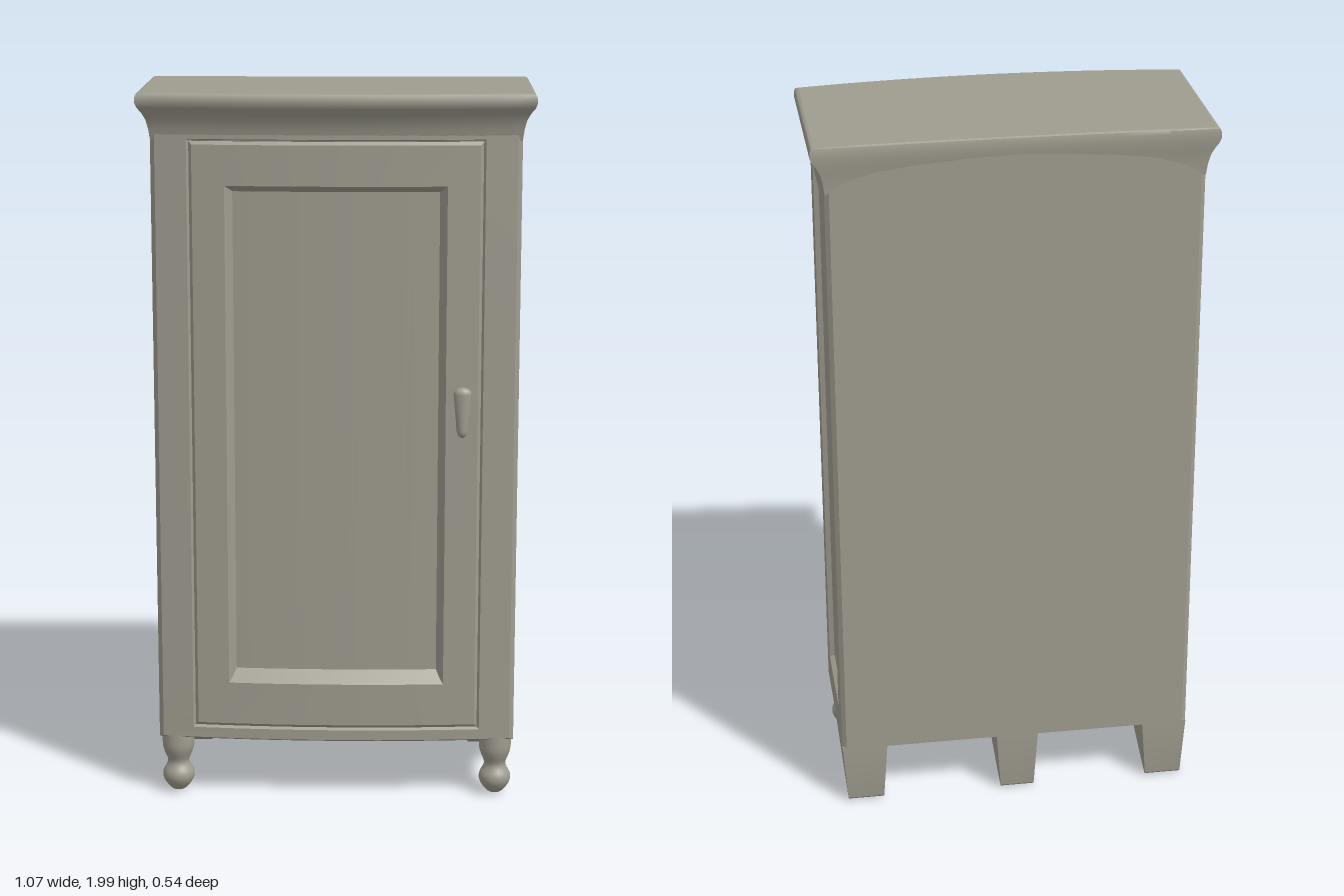
import * as THREE from 'three';
import { toCreasedNormals } from 'three/addons/utils/BufferGeometryUtils.js';

const paint = new THREE.MeshStandardMaterial({ color: 0x9f9c8f });
paint.name = 'putty grey paint';

const BACK = -0.26;
const bow = (x) => 0.03 * (1 - (x / 0.5) ** 2); // gentle curve of the front
const flat = () => 0;

function part(name, geometry, x = 0, y = 0, z = 0) {
  const mesh = new THREE.Mesh(geometry, paint);
  mesh.name = name;
  mesh.position.set(x, y, z);
  return mesh;
}

// Skin between closed rings that all have the same number of points
function loft(rings, crease = 0.6) {
  const n = rings[0].length;
  const index = [];
  for (let r = 0; r < rings.length - 1; r++) {
    for (let i = 0; i < n; i++) {
      const a = r * n + i, b = r * n + ((i + 1) % n);
      index.push(a, b, b + n, a, b + n, a + n);
    }
  }
  const geometry = new THREE.BufferGeometry().setFromPoints(rings.flat());
  geometry.setIndex(index);
  return toCreasedNormals(geometry, crease);
}

// Rectangle subdivided along its sides, bent by a curve and set back by depth
function rectangleRing([x0, x1, y0, y1, depth], curve) {
  const n = 16;
  const corners = [[x0, y0], [x1, y0], [x1, y1], [x0, y1]];
  return corners.flatMap(([ax, ay], c) => {
    const [bx, by] = corners[(c + 1) % 4];
    return Array.from({ length: n }, (_, i) => {
      const x = ax + ((bx - ax) * i) / n;
      return new THREE.Vector3(x, ay + ((by - ay) * i) / n, curve(x) - depth);
    });
  });
}

// Moulded frame around a sunken (or flush) field
function panelledFace(name, rects, curve = flat) {
  const group = new THREE.Group();
  group.name = name;
  group.add(part(name + 'Frame', loft(rects.map((r) => rectangleRing(r, curve)))));
  const [x0, x1, y0, y1, depth] = rects[rects.length - 1];
  const field = new THREE.PlaneGeometry(x1 - x0, y1 - y0, 16, 1);
  field.translate((x0 + x1) / 2, (y0 + y1) / 2, 0);
  const p = field.attributes.position;
  for (let i = 0; i < p.count; i++) p.setZ(i, curve(p.getX(i)) - depth);
  field.computeVertexNormals();
  group.add(part(name + 'Panel', field));
  return group;
}

// Bow-fronted plan outline at height y
function planRing([y, hw, front, bulge, back]) {
  const n = 24;
  const ring = Array.from({ length: n + 1 }, (_, i) => {
    const t = (i / n) * 2 - 1;
    return new THREE.Vector3(t * hw, y, front + bulge * (1 - t * t));
  });
  for (let i = 0; i <= 8; i++) {
    const t = 1 - i / 4;
    ring.push(new THREE.Vector3(t * hw, y, back - 0.01 * t * t));
  }
  return ring;
}

function planCap(spec, up) {
  const points = planRing(spec).map((v) => new THREE.Vector2(v.x, up ? -v.z : v.z));
  const geometry = new THREE.ShapeGeometry(new THREE.Shape(points));
  geometry.rotateX(up ? -Math.PI / 2 : Math.PI / 2);
  return geometry.translate(0, spec[0], 0);
}

// Bracket foot: curved in profile, narrower towards the floor
function bracketFoot(name, x, width) {
  const s = new THREE.Shape();
  s.moveTo(-BACK, 0.19);
  s.lineTo(-BACK, 0.025);
  s.quadraticCurveTo(-BACK, 0.012, 0.25, 0.014);
  s.lineTo(0.225, 0.024);
  s.quadraticCurveTo(0.13, 0.07, 0.0, 0.18);
  s.lineTo(0.0, 0.19);
  const g = new THREE.ExtrudeGeometry(s, { depth: width, bevelEnabled: false, curveSegments: 10 });
  g.translate(0, 0, -width / 2);
  g.rotateY(Math.PI / 2);
  const p = g.attributes.position;
  for (let i = 0; i < p.count; i++) {
    p.setX(i, p.getX(i) * (0.78 + 0.22 * Math.min(1, p.getY(i) / 0.17)));
  }
  return part(name, toCreasedNormals(g, 0.6), x);
}

export function createModel() {
  const model = new THREE.Group();
  model.name = 'cabinet';

  // Bowed front with corner posts, door edge and sunken door panel
  const front = panelledFace('front', [
    [-0.5, 0.5, 0.18, 1.92, 0.01],
    [-0.488, 0.488, 0.186, 1.92, 0],
    [-0.402, 0.402, 0.215, 1.875, 0],
    [-0.396, 0.396, 0.221, 1.869, 0.008],
    [-0.388, 0.388, 0.23, 1.86, 0],
    [-0.3, 0.3, 0.35, 1.75, 0],
    [-0.29, 0.29, 0.365, 1.742, 0.012],
    [-0.28, 0.28, 0.385, 1.732, 0.03],
  ], bow);
  front.position.z = 0.19;
  model.add(front);

  // Sides, each with a sunken panel
  const sideRects = [
    [-0.18, 0.25, 0.18, 1.92, 0],
    [-0.11, 0.165, 0.275, 1.82, 0],
    [-0.105, 0.16, 0.282, 1.813, 0.014],
    [-0.094, 0.149, 0.295, 1.8, 0.02],
  ];
  for (const s of [1, -1]) {
    const rects = sideRects.map(([a, b, ...rest]) => (s > 0 ? [a, b, ...rest] : [-b, -a, ...rest]));
    const side = panelledFace(s > 0 ? 'leftSide' : 'rightSide', rects);
    side.rotation.y = (s * Math.PI) / 2;
    side.position.x = s * 0.5;
    model.add(side);
  }

  // Plain back with eased edges
  const back = panelledFace('back', [
    [-0.5, 0.5, 0.18, 1.96, 0.01],
    [-0.488, 0.488, 0.186, 1.96, 0],
  ]);
  back.rotation.y = Math.PI;
  back.position.z = BACK;
  model.add(back);

  model.add(part('bottom', planCap([0.18, 0.5, 0.18, 0.03, -0.25], false)));

  // Flared cornice and top: height, half width, front, bulge, back
  const cornice = [
    [1.87, 0.499, 0.186, 0.03, -0.25],
    [1.9, 0.503, 0.193, 0.03, -0.252],
    [1.925, 0.509, 0.2, 0.032, -0.255],
    [1.945, 0.519, 0.212, 0.034, -0.259],
    [1.96, 0.53, 0.225, 0.037, -0.261],
    [1.972, 0.535, 0.231, 0.038, -0.262],
    [1.988, 0.535, 0.231, 0.038, -0.262],
    [1.997, 0.531, 0.227, 0.038, -0.26],
    [2.0, 0.524, 0.22, 0.038, -0.255],
  ];
  model.add(part('cornice', loft(cornice.map(planRing), 0.8)));
  model.add(part('top', planCap(cornice[cornice.length - 1], true)));

  // Turned front feet
  const footProfile = new THREE.SplineCurve([
    [0.001, 0.01], [0.022, 0.018], [0.042, 0.045], [0.044, 0.068], [0.033, 0.09],
    [0.031, 0.105], [0.04, 0.128], [0.045, 0.15], [0.045, 0.19],
  ].map(([r, y]) => new THREE.Vector2(r, y)));
  for (const s of [1, -1]) {
    const foot = new THREE.LatheGeometry(footProfile.getPoints(28), 24);
    model.add(part(s > 0 ? 'leftFrontFoot' : 'rightFrontFoot', foot, s * 0.45, 0, 0.152));
    model.add(bracketFoot(s > 0 ? 'leftBackFoot' : 'rightBackFoot', s * 0.435, 0.128));
  }
  model.add(bracketFoot('middleBackFoot', -0.005, 0.12));

  // Door handle: a drop-shaped grip on two posts
  const handle = new THREE.Group();
  handle.name = 'handle';
  const grip = new THREE.CapsuleGeometry(0.02, 0.1, 8, 16, 6);
  const p = grip.attributes.position;
  for (let i = 0; i < p.count; i++) {
    p.setX(i, p.getX(i) * (1 + p.getY(i) * 4.5));
    p.setZ(i, p.getZ(i) * 0.8);
  }
  grip.computeVertexNormals();
  handle.add(part('grip', grip, 0, 1.138, 0.244));
  for (const y of [1.09, 1.183]) {
    const post = new THREE.CylinderGeometry(0.014, 0.017, 0.05, 16).rotateX(Math.PI / 2);
    handle.add(part('post', post, 0, y, 0.222));
  }
  handle.position.x = 0.345;
  model.add(handle);

  return model;
}
